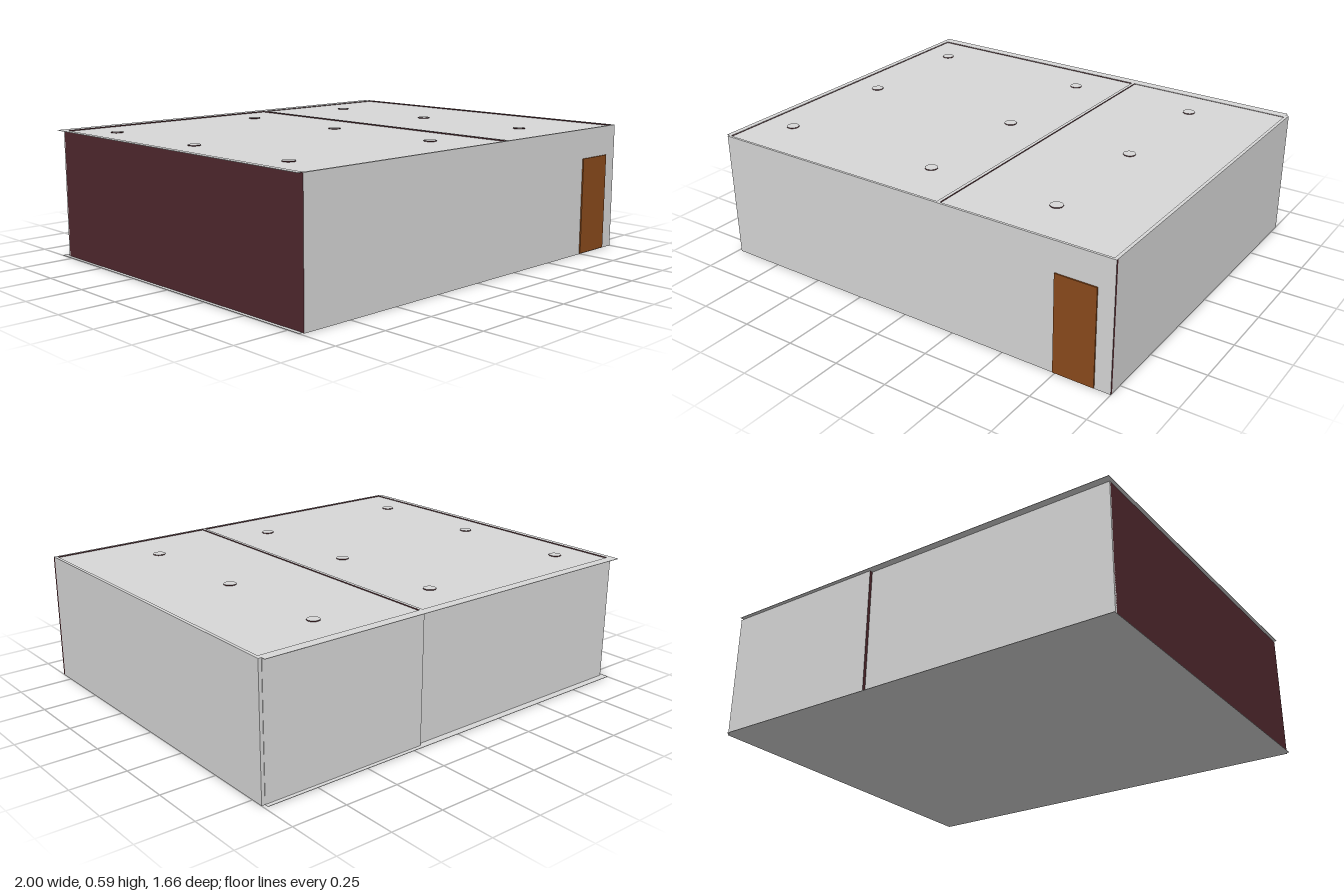
import * as THREE from 'three';

const paint = (name, color) => Object.assign(new THREE.MeshStandardMaterial({ color }), { name });

export function createModel() {
  const gray = paint('plaster gray', 0xd8d8d8);
  const maroon = paint('dark maroon', 0x50282e);
  const brown = paint('door brown', 0x8b4a1c);
  const model = new THREE.Group();
  model.name = 'twoRoomBlock';

  // Box from opposite corners; faces are ordered +x, -x, +y, -y, +z, -z
  function box(name, [x0, y0, z0], [x1, y1, z1], material) {
    const mesh = new THREE.Mesh(new THREE.BoxGeometry(x1 - x0, y1 - y0, z1 - z0), material);
    mesh.position.set((x0 + x1) / 2, (y0 + y1) / 2, (z0 + z1) / 2);
    mesh.name = name;
    model.add(mesh);
    return mesh;
  }
  const g = gray, m = maroon;
  const top = 0.586, ceilingY = 0.581, base = 0.002;

  // Floor plates, with the corners stepped like the walls above
  box('floor', [-1, 0, -0.81], [1, base, 0.811], g);
  box('floorFrontEdge', [-0.985, 0, 0.811], [1, base, 0.822], g);
  box('floorBackEdge', [-1, 0, -0.83], [0.985, base, -0.81], g);

  // Outer walls rise slightly above the ceiling; painted faces vary by side
  box('frontWall', [-0.985, base, 0.811], [1, top, 0.822], [m, m, g, g, g, m]);
  box('leftWall', [0.985, base, -0.81], [1, top, 0.811], [g, m, g, g, g, g]);
  box('rightWall', [-0.985, base, -0.79], [-0.975, top, 0.811], [m, m, g, g, g, g]);
  box('smallRoomBackWall', [0.2, base, -0.812], [0.985, top, -0.79], [g, m, g, g, m, g]);
  box('largeRoomBackWall', [-0.985, base, -0.797], [0.2, top, -0.785], [g, g, g, g, m, g]);

  // Partition between the two rooms
  box('partition', [0.185, base, -0.785], [0.2, top, 0.811], [m, m, g, g, m, m]);

  // Thin copings that overhang the back and right walls
  box('backCoping', [-1, top - 0.002, -0.83], [0.985, top, -0.785], g);
  box('rightCoping', [-1, top - 0.002, -0.83], [-0.975, top, 0.811], g);

  // Ceilings
  box('largeCeiling', [-0.98, ceilingY - 0.004, -0.79], [0.19, ceilingY, 0.811], g);
  box('smallCeiling', [0.2, ceilingY - 0.004, -0.79], [0.985, ceilingY, 0.811], g);

  // Door plate on the front wall
  box('door', [0.742, 0.004, 0.82], [0.928, 0.45, 0.828], brown);

  // Round ceiling fittings in three rows
  const disc = new THREE.CylinderGeometry(0.028, 0.028, 0.005, 20);
  for (const x of [-0.83, -0.03, 0.59]) {
    for (const z of [0.57, -0.02, -0.6]) {
      const light = new THREE.Mesh(disc, [m, g, g]);
      light.position.set(x, ceilingY + 0.0015, z);
      light.name = 'ceilingLight';
      model.add(light);
    }
  }
  return model;
}
